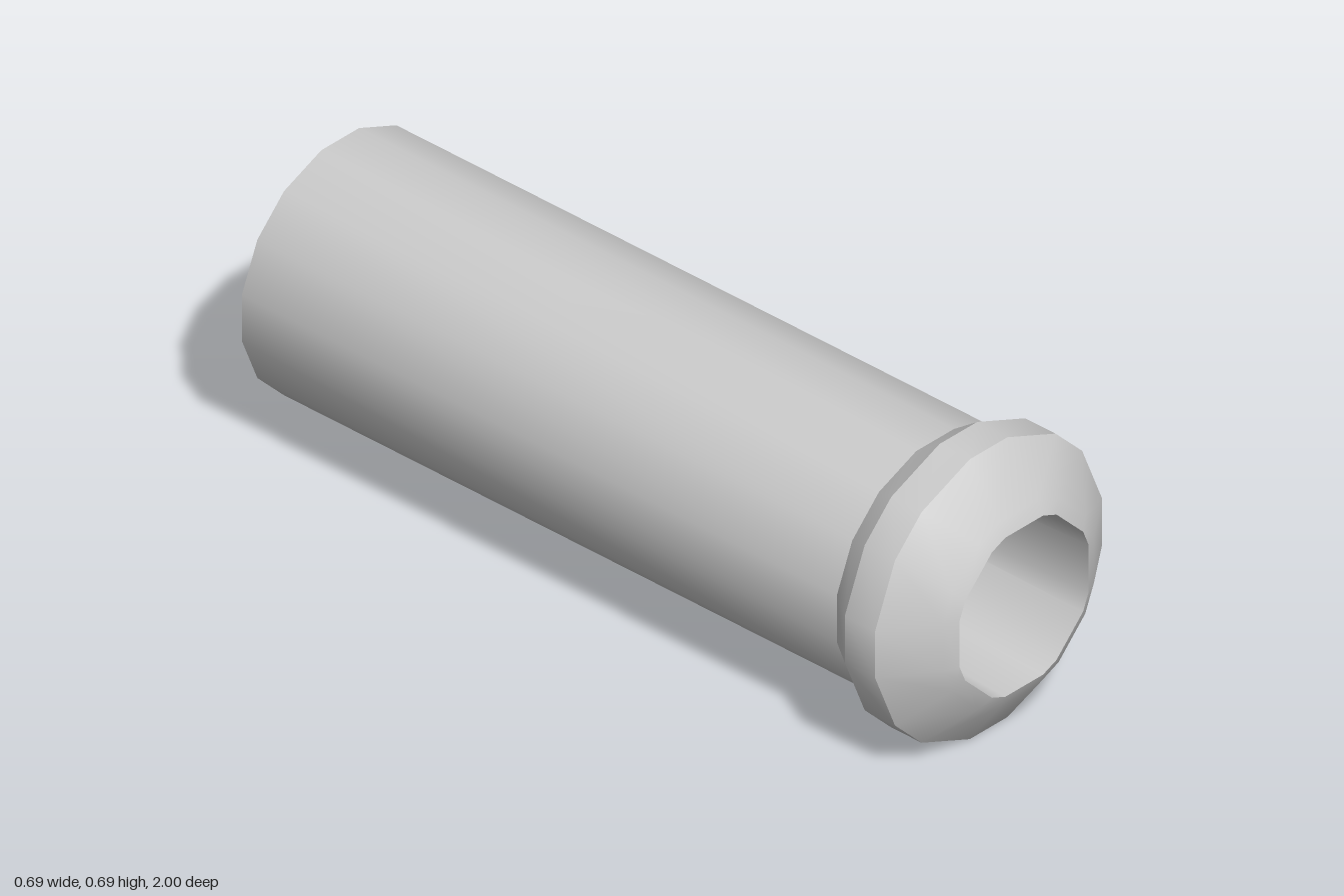
import * as THREE from 'three';
import { toCreasedNormals } from 'three/addons/utils/BufferGeometryUtils.js';

const HALF_FACET = 0.057; // constant half width of the facets facing the 8 compass directions

// 16-sided section: an eight-way facet at distance r, repeated every 45 degrees
function section(r) {
  const pts = [];
  for (let i = 0; i < 8; i++) {
    for (const h of [-HALF_FACET, HALF_FACET]) {
      pts.push(new THREE.Vector2(r, h).rotateAround(new THREE.Vector2(), i * Math.PI / 4));
    }
  }
  return pts;
}

// Skin a list of [z, r] rings, front faces outward when z increases
function loft(profile) {
  const pos = [], idx = [], n = 16;
  for (const [z, r] of profile) for (const p of section(r)) pos.push(p.x, p.y, z);
  for (let k = 0; k < profile.length - 1; k++) {
    for (let i = 0; i < n; i++) {
      const a = k * n + i, b = k * n + (i + 1) % n;
      idx.push(a, b, b + n, a, b + n, a + n);
    }
  }
  const g = new THREE.BufferGeometry();
  g.setAttribute('position', new THREE.Float32BufferAttribute(pos, 3));
  g.setIndex(idx);
  return toCreasedNormals(g, 0.48);
}

export function createModel() {
  const group = new THREE.Group();
  group.name = 'flangedTube';
  const mat = new THREE.MeshStandardMaterial({ color: 0xcccccc });
  const add = (name, geometry, material = mat) => {
    const mesh = new THREE.Mesh(geometry, material);
    mesh.name = name;
    mesh.position.y = 0.343;
    group.add(mesh);
  };

  // long barrel with a chamfered rear end
  add('barrel', loft([[-1, 0.15], [-1, 0.162], [-0.92, 0.297], [0.75, 0.297]]));
  // wider collar with a bevelled front lip
  add('collar', loft([[0.75, 0.297], [0.815, 0.343], [0.9, 0.343], [0.985, 0.227], [1, 0.195]]));
  // tapering inner wall, facing the axis
  add('bore', loft([[1, 0.195], [0, 0.15], [-1, 0.15]]));
  // wall closing the bore halfway
  const thin = mat.clone();
  thin.side = THREE.DoubleSide;
  add('borePlug', new THREE.ShapeGeometry(new THREE.Shape(section(0.15))), thin);

  return group;
}
